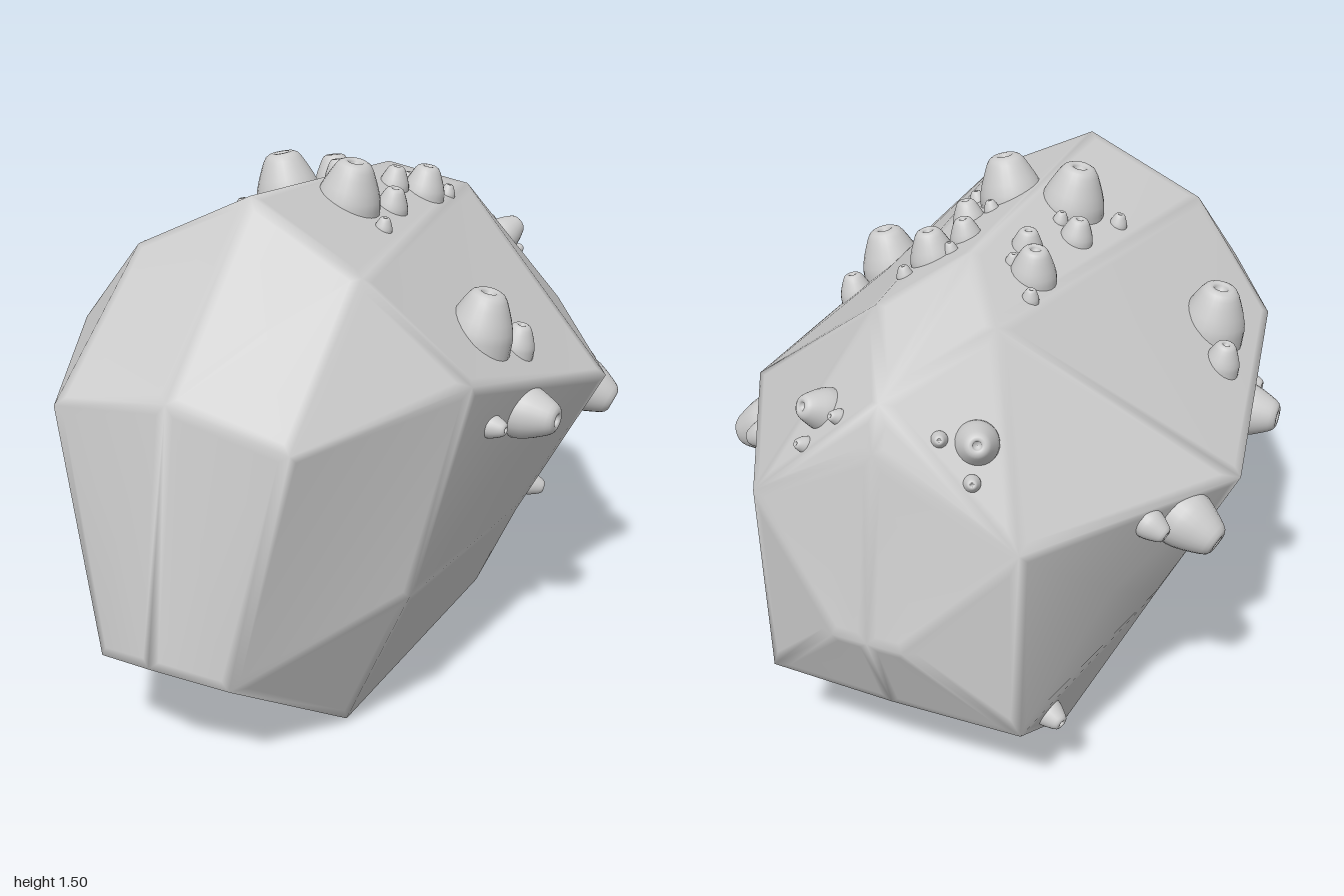
import * as THREE from 'three';
import { mergeVertices } from 'three/addons/utils/BufferGeometryUtils.js';

const V = (x, y, z) => new THREE.Vector3(x, y, z);
const material = new THREE.MeshStandardMaterial({ color: 0xcccccc });

// Corners of the boulder on its +x half
const corners = {
  // roof ridge, roof edge
  a: [0, 1.475, 0.45], b: [0, 1.395, -0.37], c: [0, 1.195, -0.88],
  d: [0.335, 1.31, 0.475], e: [0.17, 1.3, -0.58],
  // front brow, shoulder, widest corner
  f: [0, 1.05, 0.875], g: [0.345, 0.98, 0.87], h: [0.6, 1.03, 0.37], i: [0.74, 0.86, -0.3],
  // back
  j: [0, 1.08, -0.925], k: [0.375, 0.87, -0.895], l: [0.1, 0.57, -1],
  m: [0.37, 0.31, -0.88], v: [0, 0.31, -0.89], w: [0, 0.57, -1],
  // chin and lower edge
  n: [0, 0.37, 1], o: [0.195, 0.32, 0.93], p: [0.495, 0.46, 0.5], q: [0.505, 0.4, -0.25],
  // foot
  r: [0, 0.005, 0.49], s: [0.305, 0.02, 0.49], t: [0.31, 0.02, -0.43], u: [0, 0.01, -0.44],
};

// Facets of the +x half, each named by its corners
const facets = [
  'abed', 'bce', 'cke', 'cjk', 'adgf', 'dhg', 'deih', 'eki', // roof and shoulders
  'fgon', 'ghpo', 'hiqp', 'ikmq', // front and flanks
  'jklw', 'kml', 'wlmv', // back
  'nosr', 'ops', 'pqts', 'qmt', 'rstu', 'utmv', // underside
];

// Each facet gets a flat middle and a narrow rim, so shading rolls softly over the edges
function boulderGeometry(rim) {
  const middle = V(0, 0.72, 0);
  const triangles = [];
  const addTriangle = (p1, p2, p3) => {
    triangles.push(p1, p2, p3);
    triangles.push(...[p1, p3, p2].map((p) => V(-p.x, p.y, p.z)));
  };
  for (const facet of facets) {
    const outer = [...facet].map((key) => V(...corners[key]));
    const count = outer.length;
    const centre = outer.reduce((sum, p) => sum.add(p), V(0, 0, 0)).divideScalar(count);
    const normal = outer[1].clone().sub(outer[0]).cross(outer[2].clone().sub(outer[0]));
    if (normal.dot(centre.clone().sub(middle)) < 0) outer.reverse();
    const inner = outer.map((p, n) => {
      const next = outer[(n + 1) % count].clone().sub(p).normalize();
      const last = outer[(n + count - 1) % count].clone().sub(p).normalize();
      const sine = Math.max(0.4, next.clone().cross(last).length());
      return next.add(last).multiplyScalar(rim / sine).add(p);
    });
    for (let n = 0; n < count; n++) {
      const next = (n + 1) % count;
      addTriangle(inner[n], inner[next], centre);
      addTriangle(outer[n], outer[next], inner[next]);
      addTriangle(outer[n], inner[next], inner[n]);
    }
  }
  const geometry = mergeVertices(new THREE.BufferGeometry().setFromPoints(triangles), 1e-4);
  geometry.computeVertexNormals();
  return geometry;
}

// Barnacle of unit base radius: flared cone with a rounded lip and a small pit
const barnacleShape = new THREE.LatheGeometry(
  [
    [1.05, -0.7], [1.02, -0.1], [0.97, 0.15], [0.86, 0.45], [0.71, 0.78], [0.6, 1.0],
    [0.5, 1.14], [0.37, 1.21], [0.25, 1.21], [0.19, 1.14], [0.16, 1.0], [0, 0.95],
  ].map(([r, y]) => new THREE.Vector2(r, y)),
  24,
);

// Barnacle clusters on the +x side: growth direction, then [x, y, z, radius] each
const clusters = [
  { name: 'crest barnacles', dir: [0.2, 1, 0],
    items: [[0.1, 1.42, 0.08, 0.09], [0.22, 1.34, 0.115, 0.025], [0.165, 1.36, -0.055, 0.046], [0.105, 1.38, -0.03, 0.022]] },
  { name: 'rear crest barnacles', dir: [0.15, 1, -0.1],
    items: [[0.145, 1.33, -0.305, 0.063], [0.09, 1.37, -0.22, 0.044], [0.18, 1.3, -0.4, 0.023], [0.09, 1.36, -0.31, 0.021]] },
  { name: 'back barnacles', dir: [0.4, 0.4, -0.75],
    items: [[0.215, 1.09, -0.79, 0.056], [0.15, 1.12, -0.86, 0.021], [0.235, 1.02, -0.86, 0.022]] },
  { name: 'shoulder barnacles', dir: [0.2, 1, -0.05],
    items: [[0.51, 1.09, 0.115, 0.092], [0.58, 1.04, 0.005, 0.05]] },
  { name: 'flank barnacles', dir: [1, -0.08, 0.05],
    items: [[0.65, 0.86, 0.07, 0.077], [0.61, 0.865, 0.22, 0.034]] },
  { name: 'rear flank barnacles', dir: [0.88, -0.4, -0.12],
    items: [[0.64, 0.77, -0.42, 0.082], [0.6, 0.8, -0.54, 0.042]] },
  { name: 'low barnacle', dir: [0.85, -0.25, -0.3],
    items: [[0.4, 0.26, -0.72, 0.04]] },
];

// Drops a point onto the boulder along the growth direction
function seat(point, axis, boulder) {
  const start = point.clone().addScaledVector(axis, 1);
  const hits = new THREE.Raycaster(start, axis.clone().negate()).intersectObject(boulder);
  return hits.length ? hits[0].point : point;
}

function buildCluster({ name, dir, items }, side, boulder) {
  const group = new THREE.Group();
  group.name = (side > 0 ? 'left ' : 'right ') + name;
  const axis = V(dir[0] * side, dir[1], dir[2]).normalize();
  for (const [x, y, z, radius] of items) {
    const mesh = new THREE.Mesh(barnacleShape, material);
    mesh.name = 'barnacle';
    mesh.position.copy(seat(V(x * side, y, z), axis, boulder));
    mesh.quaternion.setFromUnitVectors(V(0, 1, 0), axis);
    mesh.scale.setScalar(radius);
    group.add(mesh);
  }
  return group;
}

export function createModel() {
  const model = new THREE.Group();
  model.name = 'barnacled boulder';

  const boulder = new THREE.Mesh(boulderGeometry(0.025), material);
  boulder.name = 'boulder';
  model.add(boulder);

  for (const cluster of clusters) {
    for (const side of [1, -1]) model.add(buildCluster(cluster, side, boulder));
  }
  return model;
}
